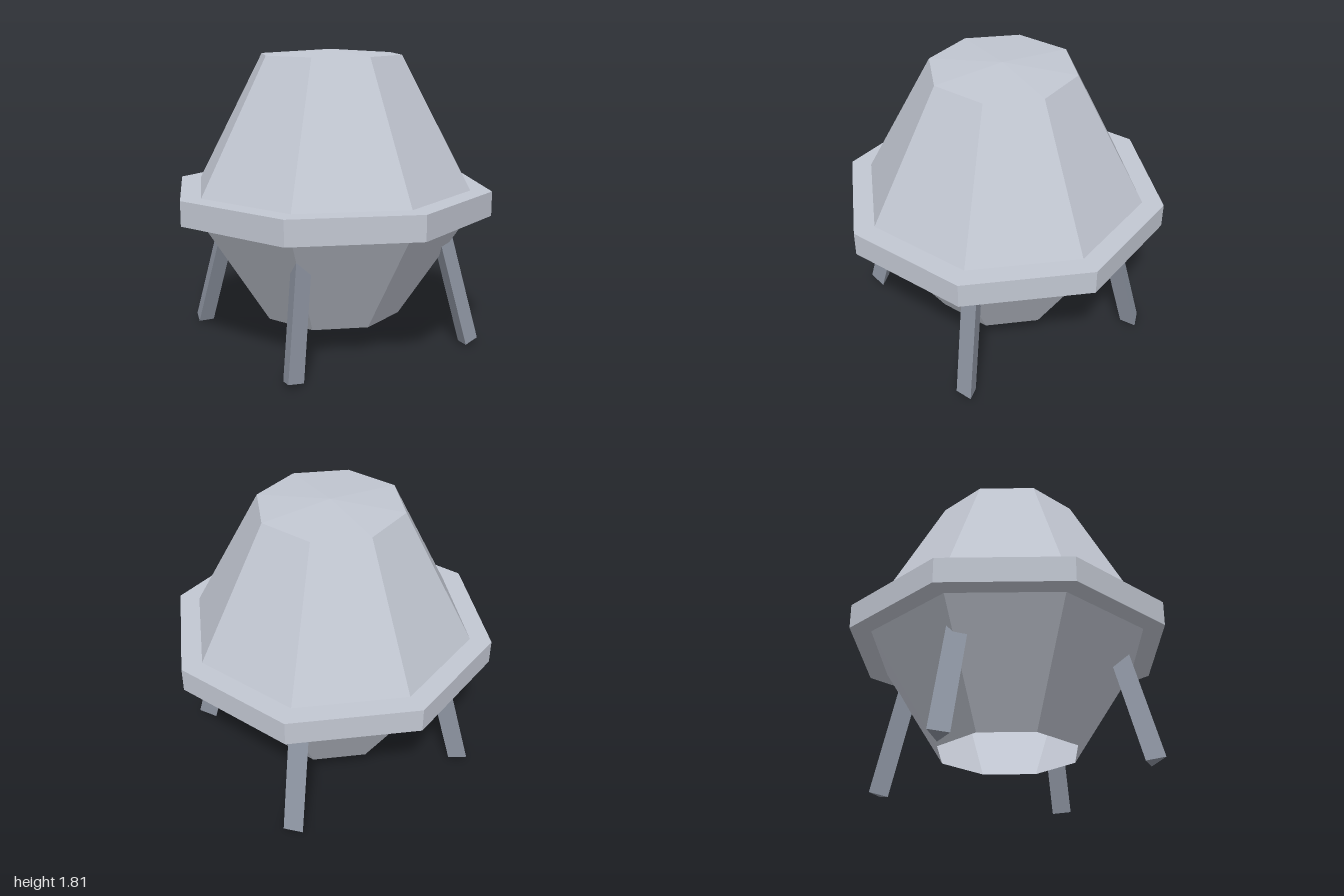
import * as THREE from 'three';

export function createModel() {
  const model = new THREE.Group();
  model.name = 'landerPod';

  const shell = new THREE.MeshStandardMaterial({ color: 0xc2c7d2, flatShading: true });
  shell.name = 'pale grey shell';
  shell.side = THREE.DoubleSide;
  const strut = new THREE.MeshStandardMaterial({ color: 0x8e95a2, flatShading: true });
  strut.name = 'slate grey strut';

  // Eight-sided ring between two heights, with a corner on the front
  const addRing = (name, rTop, rBottom, y0, y1, open) => {
    const geometry = new THREE.CylinderGeometry(rTop, rBottom, y1 - y0, 8, 1, open);
    const mesh = new THREE.Mesh(geometry, shell);
    mesh.position.y = (y0 + y1) / 2;
    mesh.name = name;
    model.add(mesh);
  };

  addRing('roofCap', 0, 0.44, 1.785, 1.815, true);
  addRing('upperHull', 0.44, 0.87, 0.98, 1.785, true);
  addRing('middleRim', 1, 1, 0.83, 0.98, false);
  addRing('lowerHull', 0.87, 0.44, 0.17, 0.83, true); // open underneath

  // Four three-sided legs splayed outwards; all keep the same corner to the front
  const length = 0.75;
  const splay = THREE.MathUtils.degToRad(15);
  const legGeometry = new THREE.CylinderGeometry(0.07, 0.07, length, 3);
  legGeometry.translate(0, length / 2, 0);
  const legs = [['frontLeg', 0, 1], ['backLeg', 0, -1], ['leftLeg', 1, 0], ['rightLeg', -1, 0]];
  for (const [name, dx, dz] of legs) {
    const leg = new THREE.Mesh(legGeometry, strut);
    leg.position.set(dx * 0.88, 0.02, dz * 0.88);
    leg.rotation.set(-dz * splay, 0, dx * splay);
    leg.name = name;
    model.add(leg);
  }

  return model;
}
